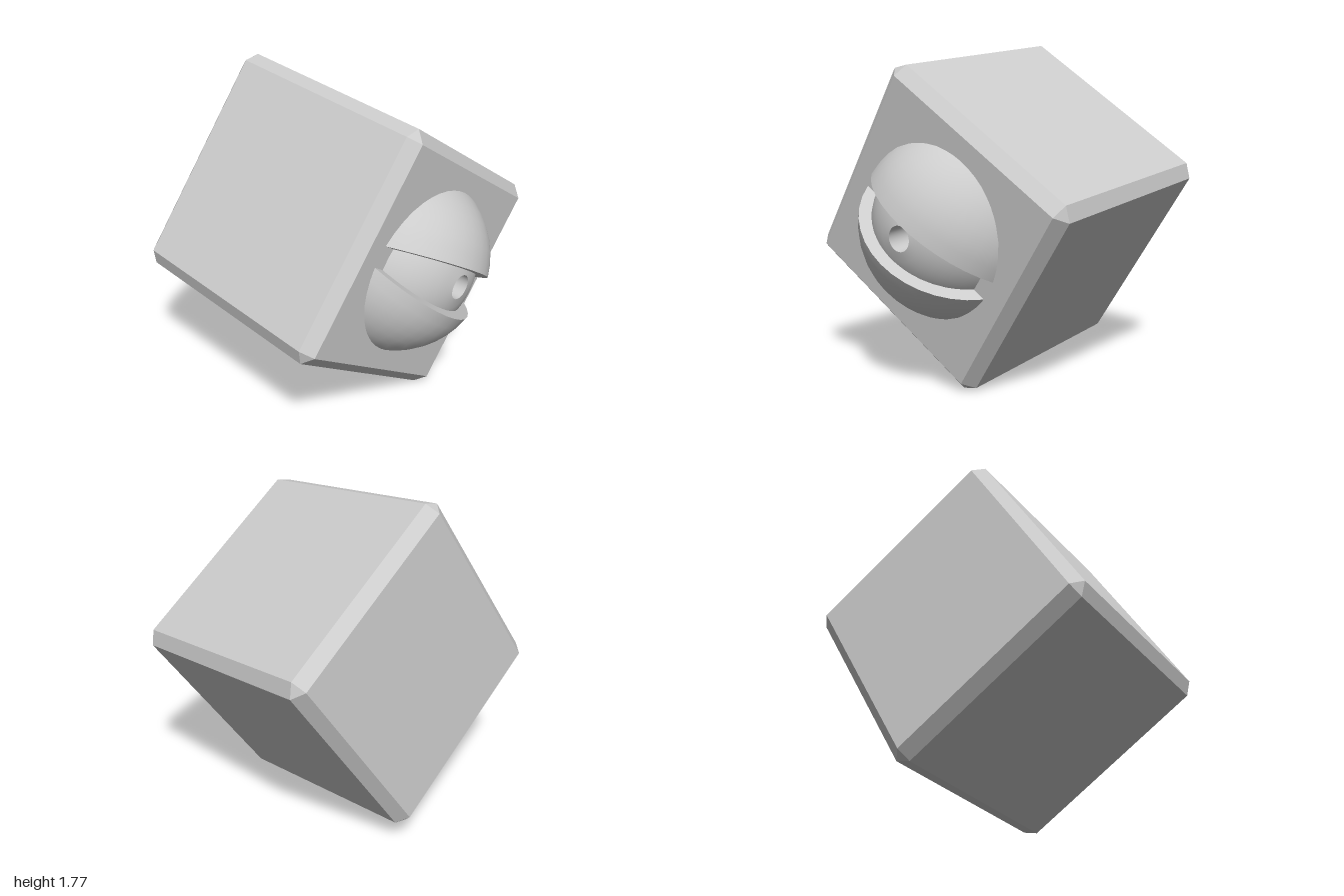
import * as THREE from 'three';
import { ConvexGeometry } from 'three/addons/geometries/ConvexGeometry.js';
import { toCreasedNormals } from 'three/addons/utils/BufferGeometryUtils.js';

const material = new THREE.MeshStandardMaterial({ color: 0xcccccc });

function part(name, geometry, parent) {
  const mesh = new THREE.Mesh(geometry, material);
  mesh.name = name;
  parent.add(mesh);
  return mesh;
}

// Cube with every edge cut at 45 degrees and a triangle at each corner
function chamferedCube(half, cut) {
  const points = [];
  for (const x of [-1, 1]) for (const y of [-1, 1]) for (const z of [-1, 1]) {
    for (let axis = 0; axis < 3; axis++) {
      const p = [x, y, z].map((s, i) => s * (i === axis ? half : half - cut));
      points.push(new THREE.Vector3(...p));
    }
  }
  return new ConvexGeometry(points);
}

// Points on a circle in the lathe plane, angles measured from the equator
function arc(radius, from, to, steps) {
  return Array.from({ length: steps + 1 }, (_, i) => {
    const a = from + (to - from) * i / steps;
    return new THREE.Vector2(Math.max(0, radius * Math.cos(a)), radius * Math.sin(a));
  });
}

function lathe(profile) {
  return toCreasedNormals(new THREE.LatheGeometry(profile, 40), 0.6);
}

export function createModel() {
  const model = new THREE.Group();
  model.name = 'cubeWithEye';

  // Tilted frame: the eye looks along local +x
  const body = new THREE.Group();
  body.name = 'tiltedBody';
  body.quaternion.setFromRotationMatrix(new THREE.Matrix4().makeBasis(
    new THREE.Vector3(0.8575, -0.092, 0.5064).normalize(),
    new THREE.Vector3(0.351, 0.824, -0.4445).normalize(),
    new THREE.Vector3(-0.3765, 0.558, 0.739).normalize()
  ));
  body.position.y = 0.883;
  model.add(body);

  part('cube', chamferedCube(0.625, 0.06), body);

  const eye = new THREE.Group();
  eye.name = 'eye';
  eye.position.x = 0.41;
  body.add(eye);

  // Eyeball with a round pupil recess
  const ballR = 0.44, holeR = 0.066, depth = 0.15;
  const rim = Math.acos(holeR / ballR);
  const floor = ballR * Math.sin(rim) - depth;
  const ball = part('eyeball', lathe([
    ...arc(ballR, -Math.PI / 2, rim, 24),
    new THREE.Vector2(holeR, floor),
    new THREE.Vector2(0, floor)
  ]), eye);
  ball.rotation.z = -Math.PI / 2 + 0.05;

  // Two half-sphere eyelids, opened by the same angle up and down
  const lid = lathe([new THREE.Vector2(0, 0), ...arc(0.505, 0, Math.PI / 2, 12)]);
  const open = THREE.MathUtils.degToRad(15);
  part('upperEyelid', lid, eye).rotation.set(0, 0, open);
  part('lowerEyelid', lid, eye).rotation.set(Math.PI, 0, open);

  return model;
}
